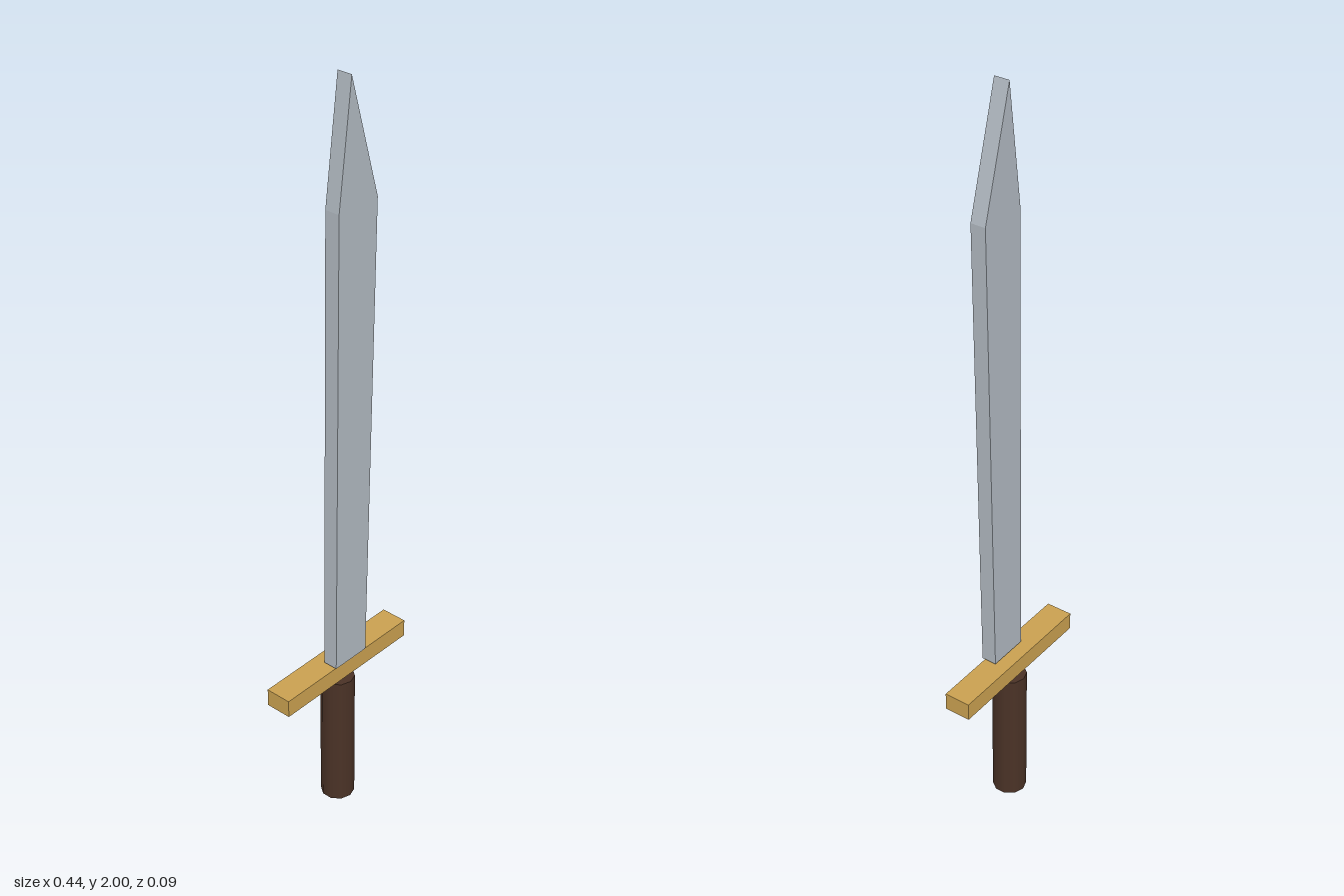
import * as THREE from 'three';

function part(name, geometry, color) {
  const mesh = new THREE.Mesh(geometry, new THREE.MeshStandardMaterial({ color }));
  mesh.name = name;
  return mesh;
}

export function createModel() {
  const sword = new THREE.Group();
  sword.name = 'sword';

  // Ten-sided grip, smooth around, with flat caps
  const grip = part('grip', new THREE.CylinderGeometry(0.044, 0.044, 0.381, 10), 0x4a3226);
  grip.position.y = 0.1905;

  // Crossguard, floating just above the grip
  const guard = part('crossguard', new THREE.BoxGeometry(0.438, 0.048, 0.07), 0xc9a050);
  guard.position.y = 0.421;

  // Asymmetric blade that widens towards the tip, extruded forward from z = 0
  const outline = new THREE.Shape([
    [-0.05, 0.449], [0.06, 0.449], [0.088, 1.69], [0, 2], [-0.04, 1.69],
  ].map(([x, y]) => new THREE.Vector2(x, y)));
  const blade = part('blade',
    new THREE.ExtrudeGeometry(outline, { depth: 0.04, bevelEnabled: false }), 0xb0b8c0);

  sword.add(grip, guard, blade);
  return sword;
}
